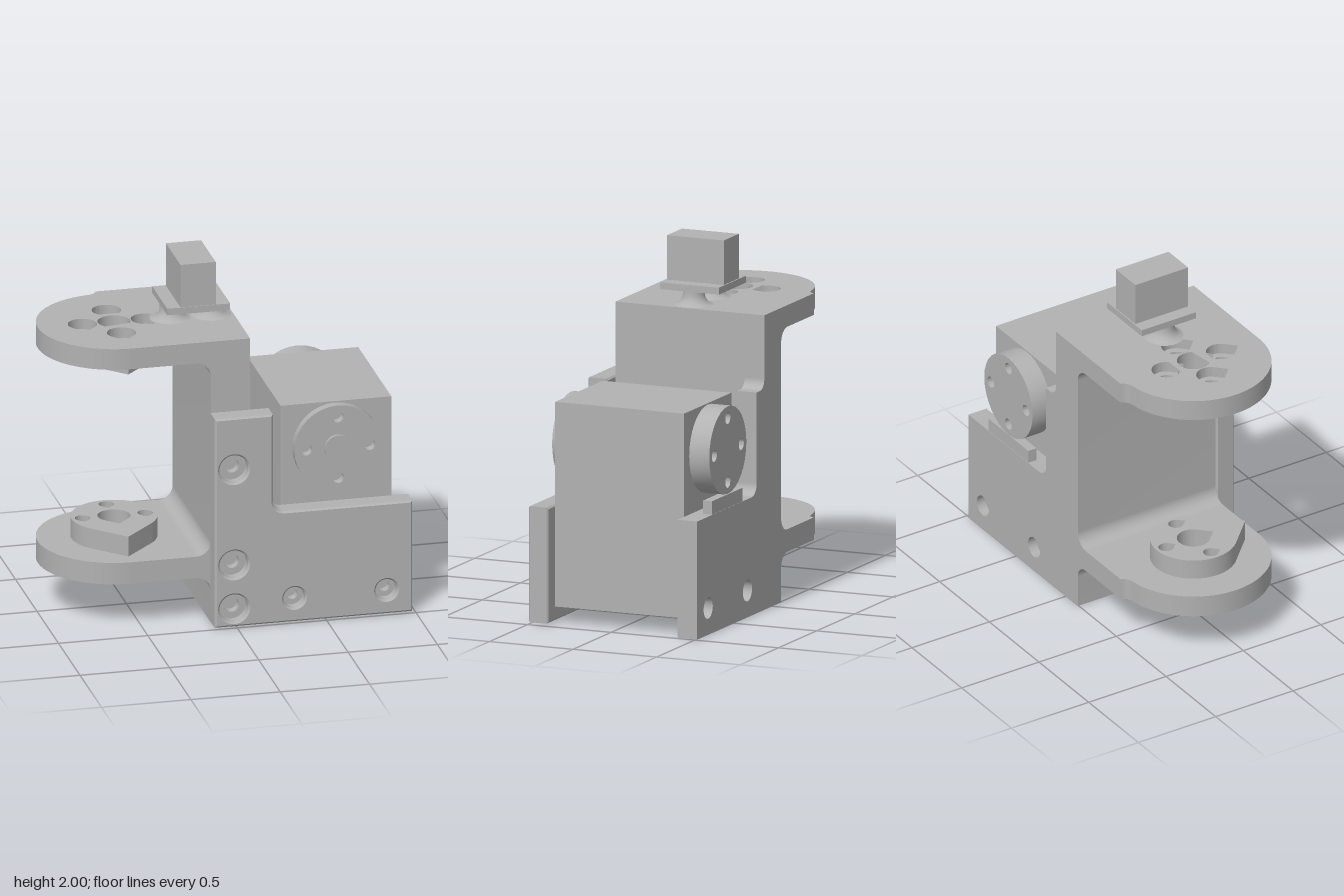
import * as THREE from 'three';
import { toCreasedNormals } from 'three/addons/utils/BufferGeometryUtils.js';

export function createModel() {
  const model = new THREE.Group();
  const gray = new THREE.MeshStandardMaterial({ color: 0xb2b2b2 });
  gray.name = 'light gray';

  function add(name, geometry) {
    const mesh = new THREE.Mesh(geometry, gray);
    mesh.name = name;
    model.add(mesh);
    return mesh;
  }
  function box(name, x0, x1, y0, y1, z0, z1) {
    add(name, new THREE.BoxGeometry(x1 - x0, y1 - y0, z1 - z0))
      .position.set((x0 + x1) / 2, (y0 + y1) / 2, (z0 + z1) / 2);
  }
  // Extrude a front outline between two z planes, with an optional edge bevel
  function plate(name, shape, z0, z1, bevel = 0) {
    const g = new THREE.ExtrudeGeometry(shape, {
      depth: z1 - z0 - 2 * bevel, curveSegments: 16, bevelEnabled: bevel > 0,
      bevelThickness: bevel, bevelSize: bevel, bevelOffset: -bevel, bevelSegments: 1,
    });
    g.translate(0, 0, z0 + bevel);
    add(name, toCreasedNormals(g, 0.5));
  }
  // Extrude a plan outline (x, z) between two heights
  function slab(name, shape, y0, y1) {
    const g = new THREE.ExtrudeGeometry(shape, { depth: y1 - y0, curveSegments: 24, bevelEnabled: false });
    g.rotateX(Math.PI / 2);
    g.translate(0, y1, 0);
    add(name, toCreasedNormals(g, 0.5));
  }
  function circle(x, y, r) {
    return new THREE.Shape().absarc(x, y, r, 0, Math.PI * 2, false);
  }
  // Circle with a right-angled tip
  function teardrop(x, y, r) {
    const s = new THREE.Shape();
    s.absarc(x, y, r, Math.PI * 0.75, Math.PI * 2.25, false);
    s.lineTo(x, y + r * Math.SQRT2);
    s.closePath();
    return s;
  }

  // Upright web with filleted stubs for both arms
  const web = new THREE.Shape();
  web.moveTo(-0.12, 0);
  web.lineTo(0.1, 0);
  web.lineTo(0.1, 1.635);
  web.lineTo(-0.2, 1.635);
  web.lineTo(-0.2, 1.515);
  web.absarc(-0.2, 1.435, 0.08, Math.PI / 2, 0, true);
  web.lineTo(-0.12, 0.47);
  web.absarc(-0.2, 0.47, 0.08, 0, -Math.PI / 2, true);
  web.lineTo(-0.2, 0.265);
  web.absarc(-0.2, 0.185, 0.08, Math.PI / 2, 0, true);
  web.closePath();
  plate('web', web, -0.505, 0.385);

  // Round-ended arms with a hole pattern recessed from the outer side
  const cx = -0.56, cz = -0.04;
  function drill(shape, r) {
    shape.holes.push(teardrop(cx, cz, 0.09));
    for (const [dx, dz] of [[1, 0], [-1, 0], [0, 1], [0, -1]])
      shape.holes.push(teardrop(cx + dx * 0.176, cz + dz * 0.176, r));
    return shape;
  }
  function armPlan() {
    const s = new THREE.Shape();
    s.moveTo(-0.2, -0.505);
    s.lineTo(-0.2, 0.385);
    s.lineTo(cx, 0.385);
    s.absarc(cx, cz, 0.425, Math.PI / 2, Math.PI * 1.47, false);
    s.quadraticCurveTo(-0.565, -0.47, -0.55, -0.505);
    s.closePath();
    return s;
  }
  const BIG = 0.08, SMALL = 0.042;
  slab('upperArmOuter', drill(armPlan(), BIG), 1.575, 1.635);
  slab('upperArmInner', drill(armPlan(), SMALL), 1.515, 1.575);
  slab('upperArmBoss', drill(teardrop(cx, cz, 0.237), SMALL), 1.45, 1.515);
  slab('lowerArmOuter', drill(armPlan(), BIG), 0.265, 0.325);
  slab('lowerArmInner', drill(armPlan(), SMALL), 0.325, 0.39);
  slab('lowerArmBoss', drill(teardrop(cx, cz, 0.237), SMALL), 0.39, 0.505);

  // Counterbored screw holes: wide opening plus a collar deep inside
  function bore(shape, holes, zCollar0, zCollar1) {
    for (const [x, y, r] of holes) {
      shape.holes.push(circle(x, y, r));
      const collar = circle(x, y, r + 0.012);
      collar.holes.push(circle(x, y, r * 0.52));
      plate('screwCollar', collar, zCollar0, zCollar1);
    }
  }
  const lowHoles = [[0.32, 0.148, 0.06], [0.835, 0.148, 0.06]];

  // Front side plate
  const front = new THREE.Shape();
  front.moveTo(-0.125, 0.01);
  front.lineTo(0.98, 0.01);
  front.lineTo(0.98, 0.655);
  front.lineTo(0.265, 0.655);
  front.absarc(0.265, 0.72, 0.065, -Math.PI / 2, -Math.PI, true);
  front.lineTo(0.2, 1.225);
  front.lineTo(-0.125, 1.225);
  front.closePath();
  bore(front, [...lowHoles, [-0.018, 0.925, 0.08], [-0.018, 0.37, 0.08], [-0.018, 0.115, 0.08]], 0.39, 0.44);
  plate('frontPlate', front, 0.387, 0.505, 0.01);

  // Back side plate, joined to the web
  const back = new THREE.Shape();
  back.moveTo(0.09, 0);
  back.lineTo(0.98, 0);
  back.lineTo(0.98, 0.655);
  back.lineTo(0.265, 0.655);
  back.absarc(0.265, 0.72, 0.065, -Math.PI / 2, -Math.PI, true);
  back.lineTo(0.2, 1.225);
  back.lineTo(0.155, 1.225);
  back.absarc(0.155, 1.28, 0.055, -Math.PI / 2, -Math.PI, true);
  back.lineTo(0.09, 1.28);
  back.closePath();
  bore(back, lowHoles, -0.45, -0.395);
  plate('backPlate', back, -0.505, -0.388);
  box('backTab', 0.38, 0.78, 0.65, 0.73, -0.503, -0.45);

  // Inside fillet between the web and the back plate
  const fillet = new THREE.Shape();
  fillet.moveTo(0.095, -0.395);
  fillet.lineTo(0.14, -0.395);
  fillet.lineTo(0.14, -0.388);
  fillet.absarc(0.14, -0.348, 0.04, -Math.PI / 2, -Math.PI, true);
  fillet.lineTo(0.095, -0.348);
  fillet.closePath();
  slab('webFillet', fillet, 0.002, 1.225);

  // Motor body with a drilled disc on each side
  box('motorBody', 0.27, 0.89, 0.09, 1.227, -0.385, 0.385);
  function disc(name, z0, z1) {
    const s = circle(0.578, 0.977, 0.243);
    for (const [dx, dy] of [[1, 0], [-1, 0], [0, 1], [0, -1]])
      s.holes.push(circle(0.578 + dx * 0.177, 0.977 + dy * 0.177, 0.033));
    plate(name, s, z0, z1);
  }
  disc('frontDisc', 0.385, 0.435);
  disc('backDisc', -0.505, -0.385);
  plate('discHub', circle(0.578, 0.977, 0.075), 0.42, 0.452);

  // Sensor on two flared posts
  const profile = [[0.115, 0], [0.09, 0.008], [0.07, 0.027], [0.06, 0.055], [0.06, 0.085]]
    .map(([r, y]) => new THREE.Vector2(r, y));
  for (const x of [-0.245, -0.018]) {
    const g = toCreasedNormals(new THREE.LatheGeometry(profile, 32), 0.9);
    add('sensorPost', g).position.set(x, 1.633, -0.03);
  }
  box('sensorBase', -0.305, 0.047, 1.715, 1.753, -0.21, 0.142);
  box('sensorBlock', -0.23, -0.033, 1.753, 2.0, -0.203, 0.138);

  return model;
}
